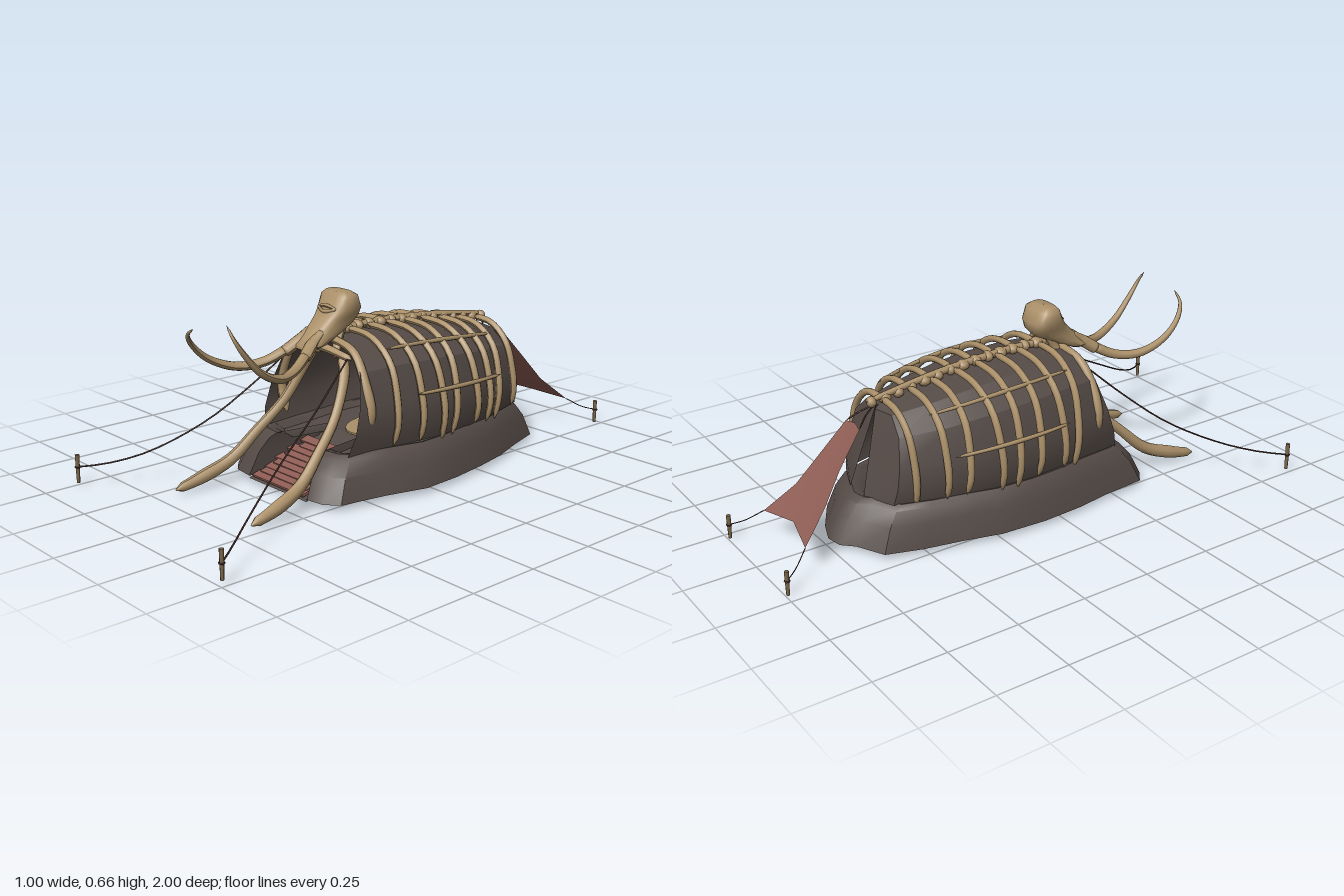
import * as THREE from 'three';
import { toCreasedNormals } from 'three/addons/utils/BufferGeometryUtils.js';

const mat = (name, color, side = THREE.FrontSide) => {
  const m = new THREE.MeshStandardMaterial({ color, side });
  m.name = name;
  return m;
};
const V = (p) => new THREE.Vector3(...p);
const lerp = THREE.MathUtils.lerp;
const CX = 0.015; // sideways centre of the shelter

// value of an array sampled at u in 0..1
const sample = (a, u) => {
  const f = u * (a.length - 1), i = Math.min(Math.floor(f), a.length - 2);
  return lerp(a[i], a[i + 1], f - i);
};

// surface through rows of points
function loft(rows, crease = 0.6) {
  const n = rows[0].length, index = [];
  for (let r = 0; r < rows.length - 1; r++)
    for (let c = 0; c < n - 1; c++) {
      const a = r * n + c, b = a + n;
      index.push(a, b, a + 1, b, b + 1, a + 1);
    }
  const g = new THREE.BufferGeometry();
  g.setAttribute('position', new THREE.Float32BufferAttribute(rows.flat(2), 3));
  g.setIndex(index);
  return toCreasedNormals(g, crease);
}

// tapered tube with closed ends
function taper(points, radii, segs = 16, sides = 8) {
  const curve = new THREE.CatmullRomCurve3(points.map(V));
  const g = new THREE.TubeGeometry(curve, segs, 1, sides);
  const pos = g.attributes.position, p = new THREE.Vector3();
  for (let i = 0; i <= segs; i++) {
    const u = i / segs, c = curve.getPointAt(u);
    const r = sample(radii, u) * (i === 0 || i === segs ? 0.15 : 1);
    for (let j = 0; j <= sides; j++) {
      const k = i * (sides + 1) + j;
      p.fromBufferAttribute(pos, k).sub(c).multiplyScalar(r).add(c);
      pos.setXYZ(k, p.x, p.y, p.z);
    }
  }
  g.computeVertexNormals();
  return g;
}

// arch profile and the shelter's half width and ridge height along z
const ARCH = [[0.93, 0], [1, 0.2], [0.97, 0.45], [0.82, 0.77], [0.48, 0.965], [0, 1]];
const STATIONS = [0.2, 0.056, -0.088, -0.232, -0.376, -0.52];
const WIDTH = [0.24, 0.266, 0.279, 0.27, 0.24, 0.175];
const HEIGHT = [0.5, 0.505, 0.5, 0.488, 0.467, 0.445];
const along = (a, z) => sample(a, THREE.MathUtils.clamp((0.2 - z) / 0.72, 0, 1));

export function createModel() {
  const root = new THREE.Group();
  root.name = 'boneShelter';
  const hide = mat('darkHide', 0x554b47, THREE.DoubleSide);
  const bone = mat('bone', 0xab9069);
  const red = mat('redHide', 0x8e5d54, THREE.DoubleSide);
  const rope = mat('rope', 0x452b24);
  const wood = mat('stakeWood', 0x7d684a);
  const add = (name, geo, m, parent = root) => {
    const mesh = new THREE.Mesh(geo, m);
    mesh.name = name;
    parent.add(mesh);
    return mesh;
  };

  // earth skirt with a channel for the front steps and a sunken floor
  const outline = [[-0.1, 0.18], [-0.14, 0.42], [-0.22, 0.41], [-0.27, 0.37], [-0.285, 0.2], [-0.305, 0.08],
    [-0.315, -0.08], [-0.305, -0.25], [-0.27, -0.38], [-0.24, -0.52], [-0.2, -0.64], [-0.1, -0.69], [-0.06, -0.73],
    [0, -0.74], [0.08, -0.71], [0.2, -0.64], [0.245, -0.5], [0.29, -0.38], [0.32, -0.25], [0.345, -0.1],
    [0.355, 0.05], [0.315, 0.2], [0.285, 0.37], [0.24, 0.41], [0.17, 0.42], [0.13, 0.18]];
  const ring = (y, s) => outline.map(([x, z]) => [CX + (x - CX) * s, y, (z + 0.15) * s - 0.15]);
  add('earthSkirt', loft([ring(0.02, 1), ring(0.1, 0.935), ring(0.145, 0.87), ring(0.16, 0.82), ring(0.155, 0.77),
    ring(0.134, 0.72)]), hide);
  const floorShape = new THREE.Shape(ring(0, 0.72).map(([x, , z]) => new THREE.Vector2(x, -z)));
  add('floor', new THREE.ShapeGeometry(floorShape).rotateX(-Math.PI / 2).translate(0, 0.134, 0), hide);
  const sleeping = add('sleepingMat', new THREE.CylinderGeometry(1, 1, 0.006, 24), bone);
  sleeping.scale.set(0.12, 1, 0.18);
  sleeping.position.set(CX, 0.138, -0.09);

  // ramp with overlapping red hides as steps
  add('ramp', loft([[[-0.14, 0.012, 0.42], [0.17, 0.012, 0.42]], [[-0.115, 0.11, 0.2], [0.145, 0.11, 0.2]],
    [[-0.085, 0.134, 0.08], [0.115, 0.134, 0.08]]]), hide);
  for (let i = 0; i < 9; i++) {
    const t = i / 8, w = lerp(0.27, 0.2, t) + 0.015 * Math.sin(i * 5.3);
    const step = add('step', new THREE.BoxGeometry(w, 0.009, 0.034), red);
    step.position.set(0.01 + 0.015 * Math.sin(i * 2.9), lerp(0.029, 0.118, t), lerp(0.4, 0.21, t));
    step.rotation.set(0.3, 0, 0.012 * Math.sin(i * 3.7));
  }

  // hide cover: arches along z, closing to a narrow slit at the back
  const cover = (s) => {
    const rows = STATIONS.map((z, i) => ARCH.map(([ax, ay]) => [
      CX + s * WIDTH[i] * ax, 0.155 + (HEIGHT[i] - 0.155) * ay,
      z + (1 - ay) * (i === 0 ? 0.1 : i === 5 ? -0.05 : 0)]));
    rows.push(ARCH.map(([, ay]) => [0.01 + s * 0.045 * (1 - ay), 0.155 + 0.29 * ay, -0.535 - 0.085 * (1 - ay)]));
    return loft(rows, 0.5);
  };
  for (const s of [-1, 1]) add('hideCover', cover(s), hide);

  // ribs
  const ribs = new THREE.Group();
  ribs.name = 'ribs';
  root.add(ribs);
  const onArch = (s, z, ax, ay, out = 0.018) =>
    [CX + s * (along(WIDTH, z) + out) * ax, 0.16 + (along(HEIGHT, z) + out - 0.16) * ay, z];
  [0.11, 0.02, -0.065, -0.15, -0.235, -0.325, -0.41, -0.51].forEach((z, i) => {
    for (const s of [-1, 1]) {
      const lean = 0.02 * Math.sin(i * 2.3 + s);
      const pts = ARCH.map(([ax, ay]) => {
        const p = onArch(s, z, ax, ay);
        p[2] += lean * (1 - ay);
        return p;
      });
      pts[0][1] += -0.005 + 0.012 * Math.sin(i * 1.7 + s);
      add('rib', taper(pts, [0.01, 0.013, 0.013, 0.012, 0.012], 16, 7), bone, ribs);
    }
  });

  // lengthwise struts tied across the ribs
  for (const s of [-1, 1])
    for (const [ax, ay, z0, z1] of [[0.98, 0.47, 0.05, -0.39], [0.68, 0.87, 0.11, -0.43]]) {
      const pts = [0, 0.25, 0.5, 0.75, 1].map((t) => onArch(s, lerp(z0, z1, t), ax, ay, 0.026));
      add('strut', taper(pts, [0.006, 0.009, 0.006], 12, 6), bone, ribs);
    }

  // shoulder bones framing the doorway
  for (const s of [-1, 1])
    add('doorRib', taper([[CX, 0.505, 0.19], [CX + s * 0.14, 0.475, 0.2], [CX + s * 0.205, 0.39, 0.21],
      [CX + s * 0.235, 0.29, 0.21], [CX + s * 0.205, 0.195, 0.21]], [0.014, 0.014, 0.016, 0.018, 0.015], 18), bone);
  add('doorBar', taper([[-0.13, 0.455, 0.215], [CX, 0.475, 0.225], [0.16, 0.455, 0.215]], [0.012, 0.016, 0.012]), bone);

  // backbone
  const spine = new THREE.Group();
  spine.name = 'backbone';
  root.add(spine);
  add('spineRod', taper([[0.01, 0.515, 0.2], [0.012, 0.52, 0], [0.012, 0.502, -0.3], [0.01, 0.465, -0.57]],
    [0.014, 0.014, 0.013, 0.01]), bone, spine);
  for (let i = 0; i < 15; i++) {
    const z = lerp(0.16, -0.55, i / 14);
    const v = add('vertebra', new THREE.SphereGeometry(1, 8, 6), bone, spine);
    v.scale.set(lerp(0.028, 0.021, i / 14), 0.019, 0.021 + 0.004 * Math.sin(i * 2.1));
    v.position.set(0.012, along(HEIGHT, z) + 0.016, z);
  }

  // skull from level slices: height, half width, back and front depth
  const skull = new THREE.Group();
  skull.name = 'skull';
  root.add(skull);
  const soft = (v) => Math.sign(v) * Math.abs(v) ** 0.65;
  const slices = [[0.656, 0.002, 0.138, 0.142], [0.655, 0.05, 0.115, 0.168], [0.642, 0.068, 0.095, 0.18],
    [0.6, 0.071, 0.078, 0.198], [0.572, 0.06, 0.08, 0.222], [0.545, 0.054, 0.105, 0.25], [0.515, 0.053, 0.165, 0.285],
    [0.49, 0.056, 0.225, 0.312], [0.478, 0.04, 0.25, 0.312], [0.477, 0.002, 0.278, 0.282]];
  add('cranium', loft(slices.map(([y, w, z0, z1]) => Array.from({ length: 21 }, (_, k) => {
    const a = (-k / 20) * Math.PI * 2;
    return [0.012 + w * soft(Math.cos(a)), y, (z0 + z1) / 2 + ((z1 - z0) / 2) * soft(Math.sin(a))];
  })), 1), bone, skull);
  for (const dy of [0.009, -0.009])
    add('noseRidge', taper([[-0.036, 0.602, 0.193], [0.012, 0.6 + dy, 0.2 - dy * 0.7], [0.06, 0.602, 0.193]],
      [0.004, 0.007, 0.004], 12, 6), bone, skull);
  for (const s of [-1, 1]) {
    const X = (x) => 0.012 + s * x;
    add('tuskSocket', taper([[X(0.034), 0.535, 0.24], [X(0.035), 0.5, 0.285], [X(0.056), 0.46, 0.34]],
      [0.012, 0.021, 0.021]), bone, skull);
    add('neckBone', taper([[X(0.025), 0.56, 0.14], [X(0.03), 0.5, 0.17], [X(0.05), 0.44, 0.2]], [0.018, 0.016, 0.015]), bone, skull);
  }

  // tusks
  const tuskR = [0.018, 0.017, 0.015, 0.012, 0.009, 0.003];
  add('tuskRight', taper([[-0.035, 0.475, 0.32], [-0.07, 0.435, 0.4], [-0.1, 0.43, 0.49], [-0.115, 0.47, 0.59],
    [-0.105, 0.53, 0.66], [-0.075, 0.575, 0.695], [-0.03, 0.603, 0.705]], tuskR, 28, 9), bone);
  add('tuskLeft', taper([[0.059, 0.475, 0.32], [0.09, 0.435, 0.4], [0.12, 0.43, 0.48], [0.14, 0.47, 0.57],
    [0.145, 0.545, 0.64], [0.14, 0.6, 0.675], [0.115, 0.637, 0.68]], tuskR, 28, 9), bone);

  // leg bones leaning out from the doorway
  for (const s of [-1, 1]) {
    const X = (x) => 0.012 + s * x;
    add('legBone', taper([[X(0.07), 0.46, 0.19], [X(0.1), 0.4, 0.205], [X(0.135), 0.27, 0.275], [X(0.165), 0.17, 0.375],
      [X(0.185), 0.085, 0.47], [X(0.2), 0.042, 0.58], [X(0.208), 0.016, 0.685]],
      [0.02, 0.018, 0.017, 0.018, 0.021, 0.024, 0.014], 26, 9), bone);
  }

  // back flap pulled out as an awning, hung from two cords
  add('backFlap', loft([
    [[-0.04, 0.4, -0.625], [0.008, 0.405, -0.615], [0.052, 0.4, -0.625]],
    [[-0.062, 0.29, -0.715], [0.01, 0.3, -0.7], [0.08, 0.29, -0.715]],
    [[-0.092, 0.19, -0.79], [0.01, 0.2, -0.775], [0.112, 0.19, -0.79]],
    [[-0.14, 0.1, -0.89], [0.01, 0.115, -0.855], [0.16, 0.1, -0.89]]]), red);
  for (const s of [-1, 1])
    add('flapCord', taper([[0.01, 0.45, -0.54], [0.008 + s * 0.02, 0.43, -0.585], [0.006 + s * 0.045, 0.4, -0.625]],
      [0.003, 0.003], 6, 5), rope);

  // guy ropes and stakes
  const guy = (pts, y0, y1, r) => {
    const [x, y, z] = pts[pts.length - 1];
    add('guyRope', new THREE.TubeGeometry(new THREE.CatmullRomCurve3(pts.map(V)), 16, r, 5), rope);
    const stake = add('stake', new THREE.CylinderGeometry(0.008, 0.006, y1 - y0, 7), wood);
    stake.position.set(x, (y0 + y1) / 2, z);
    const knot = add('ropeKnot', new THREE.TorusGeometry(0.008, 0.003, 5, 10).rotateX(Math.PI / 2), rope);
    knot.position.set(x, y, z);
  };
  guy([[-0.12, 0.47, 0.2], [-0.19, 0.33, 0.35], [-0.26, 0.21, 0.5], [-0.35, 0.115, 0.68], [-0.43, 0.078, 0.8],
    [-0.49, 0.068, 0.88]], 0.012, 0.112, 0.003);
  guy([[0.14, 0.47, 0.2], [0.22, 0.33, 0.42], [0.29, 0.22, 0.62], [0.37, 0.125, 0.8], [0.44, 0.078, 0.92],
    [0.487, 0.068, 0.988]], 0.015, 0.112, 0.003);
  guy([[-0.14, 0.1, -0.89], [-0.18, 0.065, -0.945], [-0.208, 0.05, -0.99]], 0, 0.085, 0.0018);
  guy([[0.16, 0.1, -0.89], [0.195, 0.065, -0.945], [0.223, 0.05, -0.99]], 0, 0.085, 0.0018);
  return root;
}
